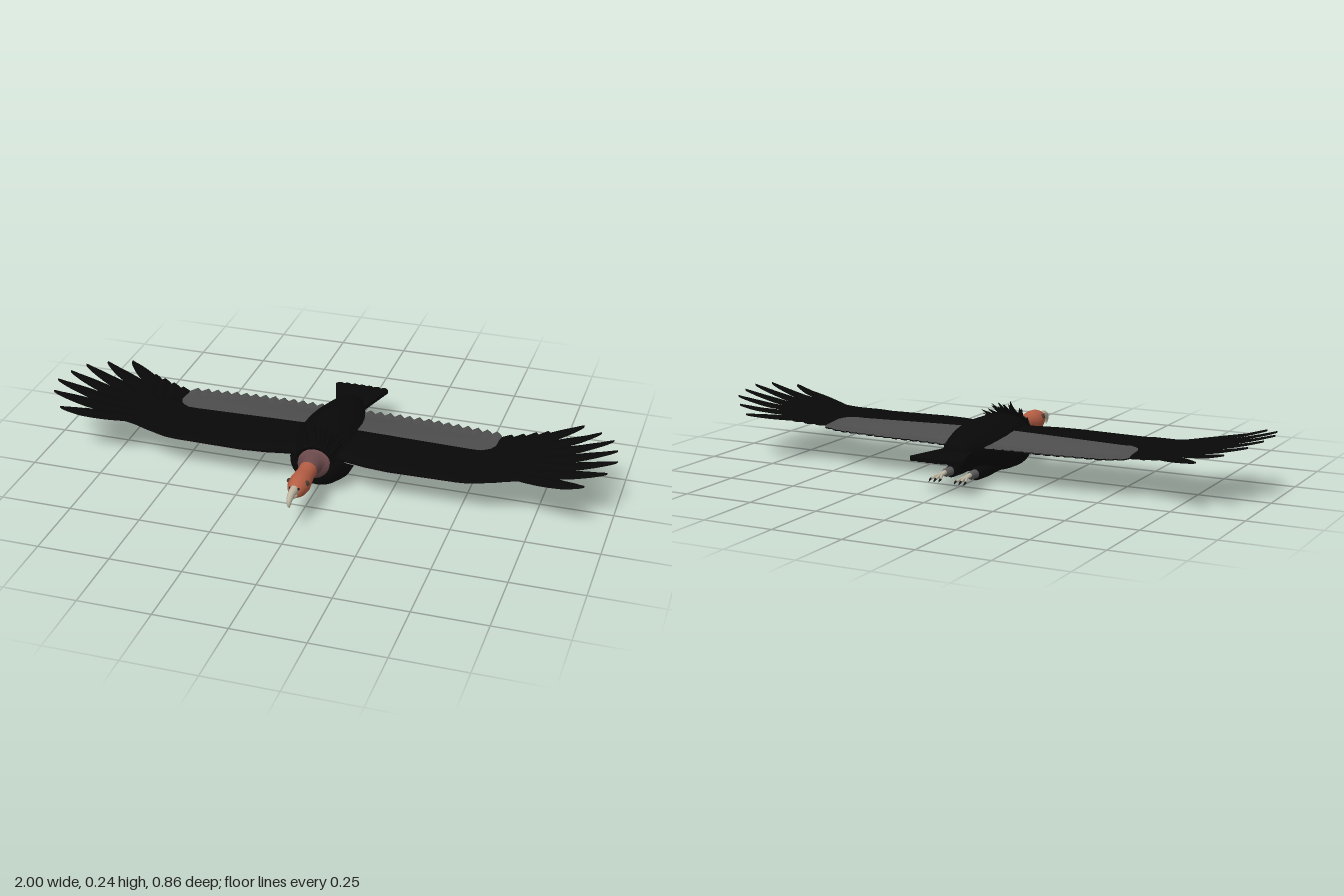
import * as THREE from 'three';

const mat = (name, color, side = THREE.FrontSide) => {
  const m = new THREE.MeshStandardMaterial({ color, side });
  m.name = name;
  return m;
};
const black = mat('black plumage', 0x080808, THREE.DoubleSide);
const grey = mat('grey wing feathers', 0x4e4e4e, THREE.DoubleSide);
const paleGrey = mat('pale grey wing lining', 0x909090, THREE.DoubleSide);
const orange = mat('orange skin', 0xb75f45);
const mauve = mat('mauve neck skin', 0x6c4a4c);
const horn = mat('pale horn', 0xbdb6a2);
const legGrey = mat('leg grey', 0x5c5c5c);
const brown = mat('brown eye', 0x46382f);
const dark = mat('dark claw', 0x1c1818);

const mesh = (name, geometry, material, parent) => {
  const m = new THREE.Mesh(geometry, material);
  m.name = name;
  parent.add(m);
  return m;
};

// Piecewise linear curve through [x, value] points
const curve = (pts) => (x) => {
  if (x <= pts[0][0]) return pts[0][1];
  for (let i = 1; i < pts.length; i++) {
    const [a, va] = pts[i - 1], [b, vb] = pts[i];
    if (x <= b) return va + (vb - va) * (x - a) / (b - a);
  }
  return pts[pts.length - 1][1];
};

// Elliptical rings [z, y, rx, ry] swept along a path in the yz plane
function loft(sections, sides = 24, x0 = 0, spread = 0) {
  const pos = [], idx = [], last = sections.length - 1;
  sections.forEach(([z, y, rx, ry], i) => {
    const a = sections[Math.max(0, i - 1)], b = sections[Math.min(last, i + 1)];
    const len = Math.hypot(b[0] - a[0], b[1] - a[1]);
    const tz = (b[0] - a[0]) / len, ty = (b[1] - a[1]) / len;
    for (let j = 0; j < sides; j++) {
      const t = j / sides * Math.PI * 2, n = Math.sin(t) * ry;
      pos.push(x0 + spread * i / last + Math.cos(t) * rx, y + n * tz, z - n * ty);
      if (i < last) {
        const p = i * sides + j, q = i * sides + (j + 1) % sides;
        idx.push(p, q, p + sides, q, q + sides, p + sides);
      }
    }
  });
  const g = new THREE.BufferGeometry();
  g.setAttribute('position', new THREE.Float32BufferAttribute(pos, 3));
  g.setIndex(idx);
  g.computeVertexNormals();
  return g;
}

// Bend a unit grid by a rule (u, v) -> [x, y, z]
function sheet(nu, nv, rule, up = true) {
  const g = new THREE.PlaneGeometry(1, 1, nu, nv), p = g.attributes.position;
  for (let i = 0; i < p.count; i++) {
    const v = up ? 0.5 + p.getY(i) : 0.5 - p.getY(i);
    p.setXYZ(i, ...rule(p.getX(i) + 0.5, v));
  }
  g.computeVertexNormals();
  return g;
}

// Wing outline, dihedral and thickness along the span
const lead = curve([[0, 0.12], [0.1, 0.135], [0.18, 0.155], [0.26, 0.165], [0.54, 0.165], [0.6, 0.15], [0.66, 0.135], [0.76, 0.13], [0.82, 0.09]]);
const trail = curve([[0, -0.202], [0.3, -0.2], [0.5, -0.184], [0.58, -0.165], [0.68, -0.175], [0.75, -0.16], [0.82, -0.07]]);
const mid = curve([[0, 0.13], [0.2, 0.133], [0.5, 0.134], [0.62, 0.142], [0.75, 0.16], [0.85, 0.175], [0.93, 0.195], [1, 0.214]]);
const thick = curve([[0, 0.03], [0.12, 0.026], [0.5, 0.015], [0.7, 0.007], [0.82, 0.003]]);

function wingSkin(x0, x1, front, back, top, lift) {
  return sheet(48, 14, (u, v) => {
    const x = x0 + (x1 - x0) * u;
    const z = THREE.MathUtils.lerp(front(x), back(x), v * v * (1.6 - 0.6 * v));
    const c = THREE.MathUtils.clamp((lead(x) - z) / (lead(x) - trail(x)), 0, 1);
    const bulge = thick(x) * Math.sqrt(c) * (1 - c) / 0.385 + lift;
    return [x, mid(x) + (top ? bulge : -bulge), z];
  }, top);
}

// Thin rounded feather from base to tip, following the dihedral
function feather([bx, bz], [tx, tz], width, lift, point) {
  const len = Math.hypot(tx - bx, tz - bz), px = -(tz - bz) / len, pz = (tx - bx) / len;
  return sheet(18, 4, (s, v) => {
    const u = 1 - (1 - s) ** 1.5;
    const w = width * Math.sqrt(Math.max(0, 1 - Math.pow(u, point))) * (0.7 + 0.3 * Math.sin(u * Math.PI));
    const d = (v - 0.5) * w, x = bx + (tx - bx) * u + px * d;
    return [x, mid(x) + lift + 0.006 * (1 - 4 * (v - 0.5) ** 2), bz + (tz - bz) * u + pz * d];
  }, false);
}

function buildWing() {
  const wing = new THREE.Group();
  mesh('wingTop', wingSkin(0.03, 0.82, lead, trail, true, 0), black, wing);
  mesh('wingUnderside', wingSkin(0.03, 0.82, lead, trail, false, 0), black, wing);
  // Grey panel above, pale triangular lining below
  const panelFront = curve([[0, -0.035], [0.53, -0.04], [0.56, -0.06], [0.572, -0.09]]);
  mesh('upperWingPanel', wingSkin(0.06, 0.572, panelFront, trail, true, 0.003), grey, wing);
  const liningFront = (x) => lead(x) - 0.01;
  const liningBack = curve([[0.05, -0.19], [0.12, -0.175], [0.28, -0.085], [0.42, 0.005], [0.51, 0.08], [0.535, 0.13]]);
  mesh('underWingLining', wingSkin(0.06, 0.535, liningFront, liningBack, false, 0.003), paleGrey, wing);
  // Scalloped rear feathers, grey above and black below
  for (let i = 0; i < 14; i++) {
    const x = 0.09 + i * 0.0355, z = trail(x);
    mesh('rearFeatherTop', feather([x, z + 0.07], [x, z - 0.026], 0.052, 0.001, 8), grey, wing);
    mesh('rearFeatherUnder', feather([x, z + 0.07], [x, z - 0.026], 0.052, -0.003, 8), black, wing);
  }
  // Short feathers joining the arm and the hand
  for (const x of [0.59, 0.63, 0.67, 0.71])
    mesh('innerPrimary', feather([x - 0.02, -0.06], [x + 0.015, -0.186 - (x - 0.59) * 0.3], 0.07, 0, 8), black, wing);
  // Fan of long finger feathers
  const tips = [[0.92, 0.18], [0.98, 0.1], [1, 0.022], [0.988, -0.06], [0.963, -0.14], [0.91, -0.21], [0.84, -0.275]];
  tips.forEach((tip, i) => {
    const base = [0.66 - 0.006 * i, 0.095 - i * 0.032];
    mesh('fingerFeather', feather(base, tip, 0.067, 0.003 - i * 0.001, 4), black, wing);
  });
  return wing;
}

function buildLeg() {
  const leg = new THREE.Group(), x = 0.047;
  mesh('thigh', loft([[-0.05, 0.06, 0, 0], [-0.08, 0.052, 0.03, 0.03], [-0.16, 0.046, 0.028, 0.027],
    [-0.23, 0.041, 0.02, 0.02], [-0.24, 0.042, 0, 0]], 16, x), black, leg);
  mesh('shank', loft([[-0.22, 0.043, 0.016, 0.016], [-0.262, 0.045, 0.014, 0.015], [-0.27, 0.046, 0, 0]], 14, x), legGrey, leg);
  mesh('foot', loft([[-0.262, 0.047, 0, 0], [-0.27, 0.047, 0.009, 0.008], [-0.295, 0.044, 0.009, 0.007], [-0.305, 0.043, 0, 0]], 12, x), horn, leg);
  for (const s of [-0.018, 0, 0.018]) {
    mesh('toe', loft([[-0.285, 0.046, 0.005, 0.006], [-0.31, 0.043, 0.005, 0.006], [-0.335, 0.037, 0.004, 0.004]], 8, x, s), horn, leg);
    mesh('claw', loft([[-0.333, 0.038, 0.004, 0.004], [-0.342, 0.035, 0.003, 0.003], [-0.349, 0.029, 0, 0]], 8, x + s), dark, leg);
  }
  return leg;
}

// Flared tail slab with a scalloped end
function tailGeometry() {
  const s = new THREE.Shape(), n = 7, w = 0.196 / n;
  s.moveTo(-0.045, 0.2);
  s.lineTo(0.045, 0.2);
  s.lineTo(0.058, 0.28);
  s.lineTo(0.098, 0.415);
  for (let i = 1; i <= n; i++) {
    const x = 0.098 - i * w, end = 0.422 - 0.06 * Math.abs(x) ** 1.0 * 0.6;
    s.quadraticCurveTo(x + w / 2, 0.437, x, i < n ? end : 0.415);
  }
  s.lineTo(-0.058, 0.28);
  return new THREE.ExtrudeGeometry(s, { depth: 0.014, bevelEnabled: false }).rotateX(-Math.PI / 2);
}

export function createModel() {
  const model = new THREE.Group();
  model.name = 'soaringBird';

  mesh('body', loft([[-0.3, 0.122, 0, 0], [-0.296, 0.122, 0.04, 0.03], [-0.27, 0.125, 0.052, 0.042], [-0.22, 0.12, 0.072, 0.06],
    [-0.15, 0.112, 0.097, 0.082], [-0.1, 0.108, 0.11, 0.09], [-0.04, 0.105, 0.117, 0.094], [0.02, 0.1, 0.117, 0.097], [0.07, 0.097, 0.113, 0.097],
    [0.11, 0.102, 0.1, 0.087], [0.14, 0.11, 0.083, 0.072], [0.157, 0.117, 0.064, 0.055], [0.163, 0.122, 0, 0]], 36), black, model);
  mesh('tail', tailGeometry(), black, model).position.y = 0.114;

  // Ruff: ring of pointed feathers swept back from the neck
  const count = 30, up = new THREE.Vector3(0, 1, 0);
  for (let k = 0; k < count * 2; k++) {
    const row = k < count ? 0 : 1, a = (k + row * 0.5) / count * Math.PI * 2;
    const reach = 0.096 + row * 0.01 + 0.01 * Math.sin(k * 2.7) + 0.007 * Math.sin(a);
    const from = new THREE.Vector3(Math.cos(a) * 0.056, 0.118 + Math.sin(a) * 0.05, 0.15 - row * 0.015);
    const to = new THREE.Vector3(Math.cos(a) * reach, 0.118 + Math.sin(a) * reach, 0.085 - row * 0.012);
    const dir = to.clone().sub(from);
    const spike = mesh('ruffFeather', new THREE.ConeGeometry(0.014, dir.length(), 6), black, model);
    spike.position.copy(from).add(to).multiplyScalar(0.5);
    spike.quaternion.setFromUnitVectors(up, dir.normalize());
  }

  // Neck with flared collar, head and hooked bill
  mesh('neck', loft([[0.15, 0.115, 0.058, 0.05], [0.165, 0.116, 0.055, 0.047], [0.17, 0.122, 0.042, 0.04],
    [0.19, 0.125, 0.035, 0.034], [0.222, 0.125, 0.031, 0.031]]), mauve, model);
  mesh('head', loft([[0.22, 0.125, 0.0312, 0.0312], [0.25, 0.124, 0.031, 0.031], [0.275, 0.122, 0.034, 0.035], [0.305, 0.121, 0.037, 0.039],
    [0.335, 0.122, 0.034, 0.036], [0.355, 0.123, 0.027, 0.029], [0.368, 0.124, 0.018, 0.022], [0.372, 0.124, 0, 0]]), orange, model);
  mesh('upperBill', loft([[0.355, 0.128, 0.017, 0.019], [0.38, 0.13, 0.014, 0.015], [0.402, 0.129, 0.012, 0.014],
    [0.417, 0.121, 0.01, 0.012], [0.423, 0.108, 0.007, 0.008], [0.421, 0.097, 0.004, 0.005], [0.418, 0.09, 0, 0]], 16), horn, model);
  mesh('lowerBill', loft([[0.355, 0.11, 0.014, 0.01], [0.38, 0.112, 0.011, 0.008], [0.4, 0.115, 0.006, 0.005], [0.407, 0.117, 0, 0]], 14), horn, model);

  for (const s of [1, -1]) {
    const eye = mesh('eye', new THREE.SphereGeometry(0.009, 16, 12), brown, model);
    eye.position.set(s * 0.03, 0.137, 0.326);
    const nostril = mesh('nostril', new THREE.SphereGeometry(0.004, 10, 8), dark, model);
    nostril.scale.z = 1.5;
    nostril.position.set(s * 0.014, 0.135, 0.367);
    const wing = buildWing(), leg = buildLeg();
    wing.name = s > 0 ? 'leftWing' : 'rightWing';
    leg.name = s > 0 ? 'leftLeg' : 'rightLeg';
    wing.scale.x = leg.scale.x = s;
    model.add(wing, leg);
  }
  return model;
}
